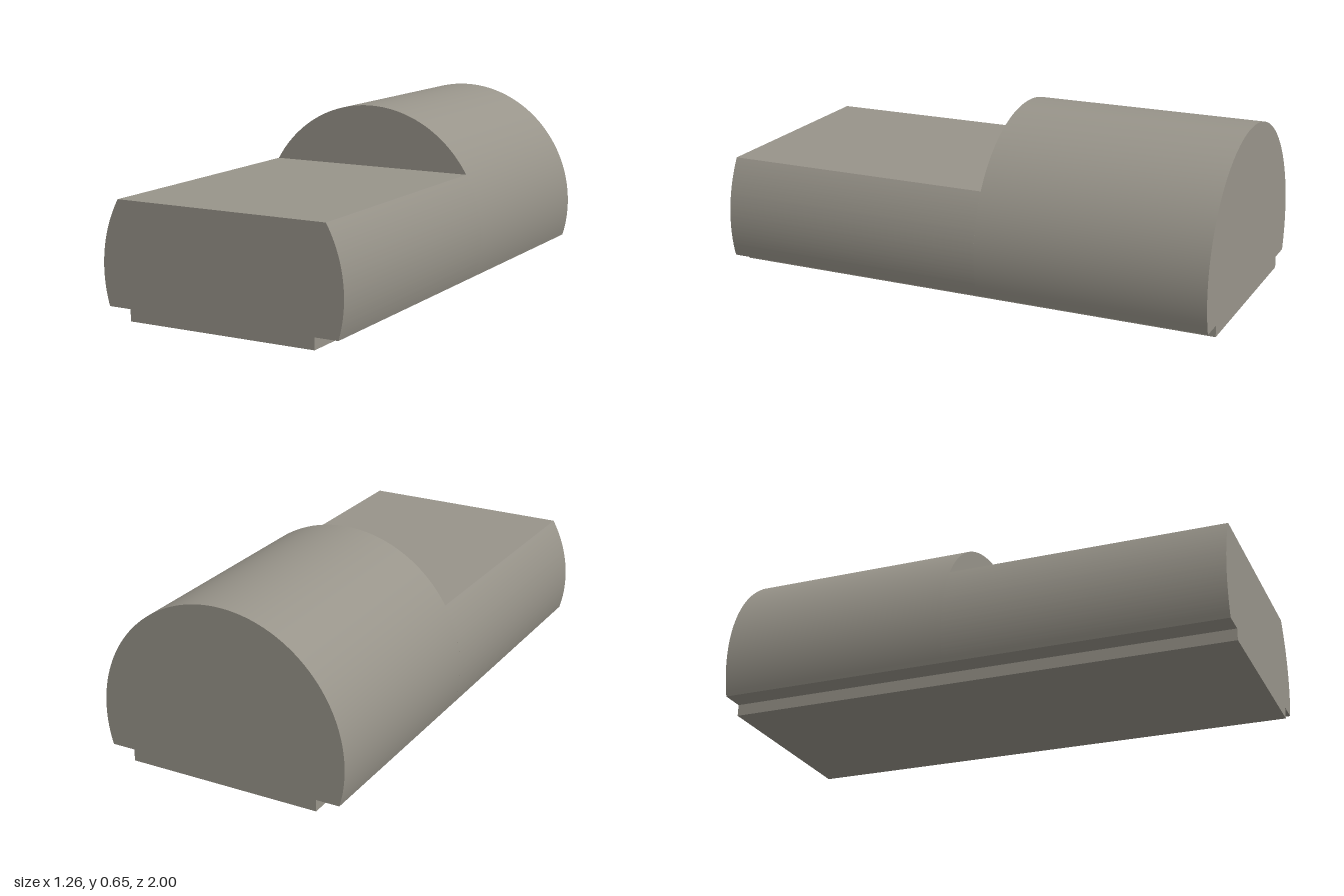
import * as THREE from 'three';
import { toCreasedNormals } from 'three/addons/utils/BufferGeometryUtils.js';

const R = 0.463;        // radius of the rounded body
const CY = 0.177;       // height of its axis
const LEDGE = 0.042;    // underside of the overhang
const FOOT = 0.357;     // half width of the base strip
const DECK = 0.412;     // height of the flat front deck
const HALF = 0.927;     // half length
const STEP = -0.081;    // where the deck meets the full round

const angleAt = (y) => Math.asin((y - CY) / R);

// Cross-section: base strip, overhang, round sides and an optional flat top
function profile(topY) {
  const low = angleAt(LEDGE);
  const s = new THREE.Shape();
  s.moveTo(-FOOT, 0);
  s.lineTo(FOOT, 0);
  s.lineTo(FOOT, LEDGE);
  if (topY === undefined) {
    s.absarc(0, CY, R, low, Math.PI - low, false);
  } else {
    const high = angleAt(topY);
    s.absarc(0, CY, R, low, high, false);
    s.absarc(0, CY, R, Math.PI - high, Math.PI - low, false);
  }
  s.lineTo(-FOOT, LEDGE);
  s.closePath();
  return s;
}

export function createModel() {
  const grey = new THREE.MeshStandardMaterial({ color: 0x98948a });
  grey.name = 'warm grey';

  const body = new THREE.Group();
  body.name = 'body';

  const addSection = (name, shape, z0, z1) => {
    const geo = new THREE.ExtrudeGeometry(shape, {
      depth: z1 - z0, bevelEnabled: false, curveSegments: 48,
    });
    geo.translate(0, 0, z0);
    const mesh = new THREE.Mesh(toCreasedNormals(geo, 0.4), grey);
    mesh.name = name;
    body.add(mesh);
  };

  addSection('roundedRear', profile(), -HALF, STEP);
  addSection('flatFront', profile(DECK), STEP, HALF);

  // The body is turned about y and leans very slightly
  body.rotation.set(0.006, THREE.MathUtils.degToRad(-11), -0.005, 'YXZ');
  body.position.y = 0.0075;

  const model = new THREE.Group();
  model.name = 'model';
  model.add(body);
  return model;
}
